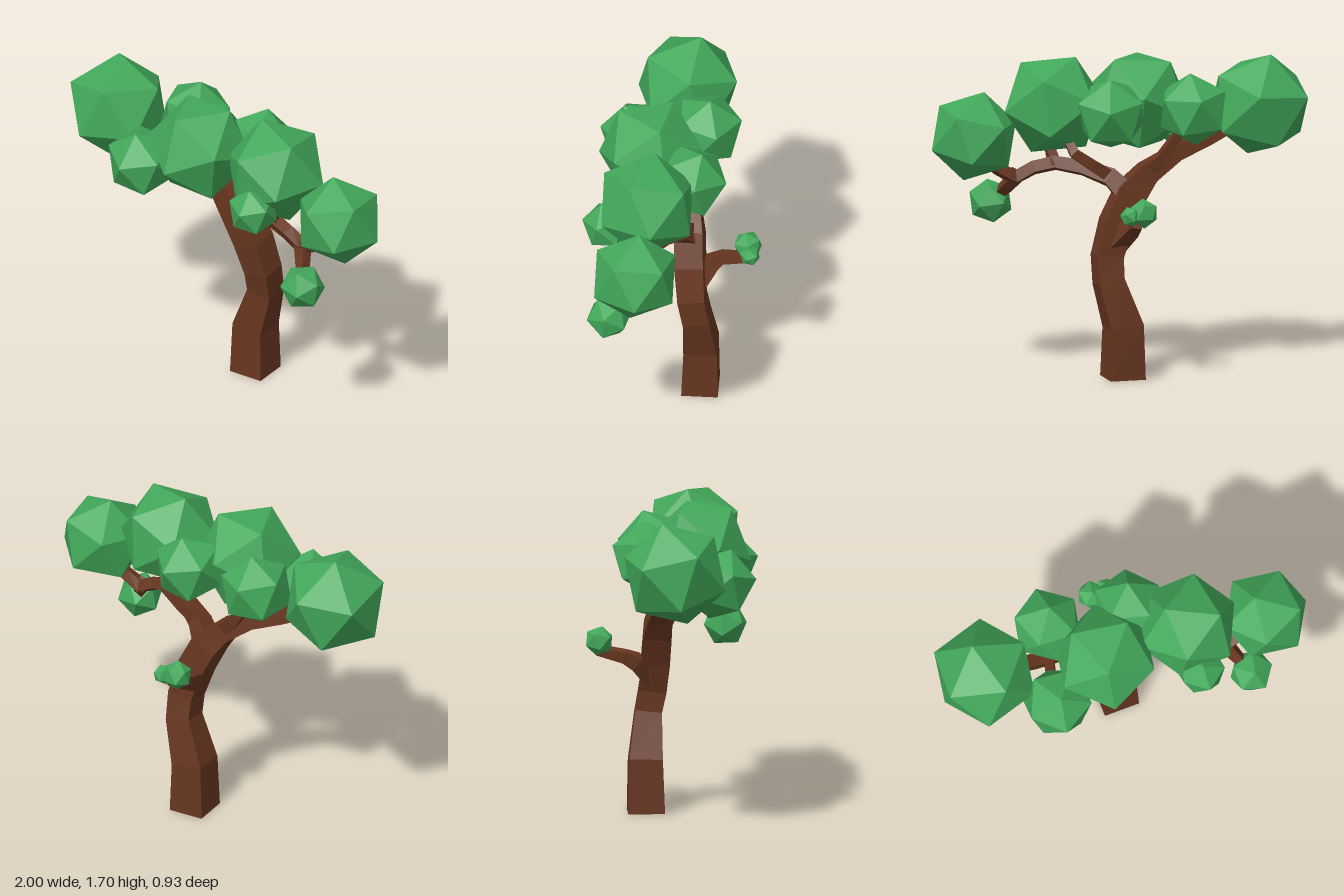
import * as THREE from 'three';

const bark = new THREE.MeshStandardMaterial({ color: 0x673620, flatShading: true });
const leaf = new THREE.MeshStandardMaterial({ color: 0x42a85a, flatShading: true });

// Tapered square limb through points [x, y, z, halfWidth]
function limb(name, pts, ref = [0, 0, 1]) {
  const P = pts.map(p => new THREE.Vector3(p[0], p[1], p[2]));
  const pos = [], idx = [], n = P.length;
  const side = new THREE.Vector3(...ref);
  P.forEach((p, i) => {
    const t = P[Math.min(i + 1, n - 1)].clone().sub(P[Math.max(i - 1, 0)]).normalize();
    side.addScaledVector(t, -side.dot(t)).normalize();
    const bi = t.clone().cross(side);
    for (const [a, b] of [[1, 1], [-1, 1], [-1, -1], [1, -1]]) {
      const h = pts[i][3];
      pos.push(...p.clone().addScaledVector(side, a * h).addScaledVector(bi, b * h).toArray());
    }
    if (i < n - 1) for (let j = 0; j < 4; j++) {
      const a = i * 4 + j, b = i * 4 + (j + 1) % 4;
      idx.push(a, b, b + 4, a, b + 4, a + 4);
    }
  });
  const e = (n - 1) * 4;
  idx.push(0, 2, 1, 0, 3, 2, e, e + 1, e + 2, e, e + 2, e + 3);
  let g = new THREE.BufferGeometry();
  g.setAttribute('position', new THREE.Float32BufferAttribute(pos, 3));
  g.setIndex(idx);
  g = g.toNonIndexed();
  g.computeVertexNormals();
  const m = new THREE.Mesh(g, bark);
  m.name = name;
  return m;
}

// Orthonormal basis with its first axis on a and its second toward b
function basis(a, b) {
  const x = new THREE.Vector3(...a).normalize();
  const y = new THREE.Vector3(...b);
  y.addScaledVector(x, -y.dot(x)).normalize();
  return new THREE.Matrix4().makeBasis(x, y, x.clone().cross(y));
}

// Icosahedron turned so one corner points along a and a neighbour leans toward b
function foliage(name, [x, y, z, r], a, b) {
  const g = new THREE.IcosahedronGeometry(r, 0);
  const t = (1 + Math.sqrt(5)) / 2;
  g.applyMatrix4(basis(a, b).multiply(basis([0, 1, t], [0, -1, t]).transpose()));
  const m = new THREE.Mesh(g, leaf);
  m.position.set(x, y, z);
  m.name = name;
  return m;
}

export function createModel() {
  const tree = new THREE.Group();
  tree.name = 'tree';

  // Trunk bending over into the long left-hand bough
  tree.add(limb('trunk', [
    [0.035, 0, -0.145, 0.097], [0.035, 0.28, -0.148, 0.089], [0.11, 0.52, -0.13, 0.071],
    [0.11, 0.65, -0.105, 0.072], [0.058, 0.82, -0.092, 0.077], [-0.023, 0.98, -0.085, 0.076],
    [-0.12, 1.085, -0.08, 0.058], [-0.28, 1.18, -0.07, 0.042], [-0.45, 1.24, -0.05, 0.036],
    [-0.65, 1.33, -0.04, 0.03]]));

  // Right bough, arching forward
  tree.add(limb('rightBough', [
    [0.0, 0.98, -0.08, 0.055], [0.07, 1.06, -0.03, 0.046], [0.2, 1.105, 0.05, 0.036],
    [0.33, 1.125, 0.12, 0.032], [0.44, 1.1, 0.15, 0.031], [0.54, 1.05, 0.16, 0.034],
    [0.63, 1.1, 0.16, 0.028], [0.72, 1.18, 0.16, 0.024]]));

  // Smaller branches
  tree.add(limb('hangingBranch', [
    [0.53, 1.07, 0.15, 0.034], [0.57, 1.0, 0.21, 0.029], [0.62, 0.92, 0.29, 0.02]]));
  tree.add(limb('rightTwig', [
    [0.33, 1.11, 0.11, 0.028], [0.345, 1.18, 0.15, 0.024], [0.335, 1.28, 0.28, 0.018]], [1, 0, 0]));
  tree.add(limb('innerBranch', [
    [0.08, 1.07, -0.03, 0.034], [0.17, 1.13, -0.035, 0.03], [0.27, 1.2, -0.03, 0.026],
    [0.3, 1.28, 0.02, 0.02]]));
  tree.add(limb('backLeftBranch', [
    [-0.08, 1.06, -0.08, 0.04], [-0.19, 1.17, -0.125, 0.03], [-0.32, 1.36, -0.15, 0.022]]));
  tree.add(limb('frontLeftBranch', [
    [-0.38, 1.21, -0.05, 0.028], [-0.41, 1.25, 0.05, 0.025], [-0.43, 1.29, 0.18, 0.02]], [1, 0, 0]));
  tree.add(limb('backTwig', [
    [0.07, 0.72, -0.12, 0.05], [0.01, 0.81, -0.2, 0.042], [0.0, 0.84, -0.26, 0.031],
    [0.03, 0.87, -0.4, 0.024]], [1, 0, 0]));

  // Foliage clumps: centre and radius, then two corner directions
  const clumps = [
    ['leftCrown', [-0.755, 1.41, -0.03, 0.288], [0.045, -0.28, 0.07], [-0.075, -0.065, 0.25]],
    ['frontLeftClump', [-0.44, 1.3, 0.225, 0.195], [-0.1, 0.15, 1], [0, 1, 0.2]],
    ['backLeftClump', [-0.35, 1.425, -0.155, 0.2], [0.01, 0.07, -0.185], [0.02, 0.19, 0]],
    ['middleCrown', [-0.133, 1.435, 0.13, 0.286], [-0.045, 0.225, 0.17], [0.15, 0.235, -0.06]],
    ['backMiddleClump', [0.09, 1.415, -0.1, 0.2], [0.1, 1, -0.3], [0.3, 0, -1]],
    ['rightCrown', [0.34, 1.44, 0.12, 0.282], [-0.11, 0.25, -0.035], [0.16, 0.21, 0.09]],
    ['frontRightClump', [0.335, 1.29, 0.33, 0.137], [0, 0.2, 1], [0, 1, 0]],
    ['rightClump', [0.768, 1.285, 0.16, 0.245], [-0.05, 0.235, -0.02], [-0.23, 0.085, 0.01]],
    ['hangingClump', [0.632, 0.905, 0.305, 0.122], [0, 0.11, 0.06], [0.03, 0.115, -0.06]],
    ['backTwigClump', [-0.003, 0.925, -0.395, 0.08], [0, 1, 0.2], [0.2, 0, -1]],
    ['backTwigBud', [0.075, 0.915, -0.41, 0.055], [1, 0.1, 0.3], [0, 1, 0]],
  ];
  for (const c of clumps) tree.add(foliage(...c));
  return tree;
}
